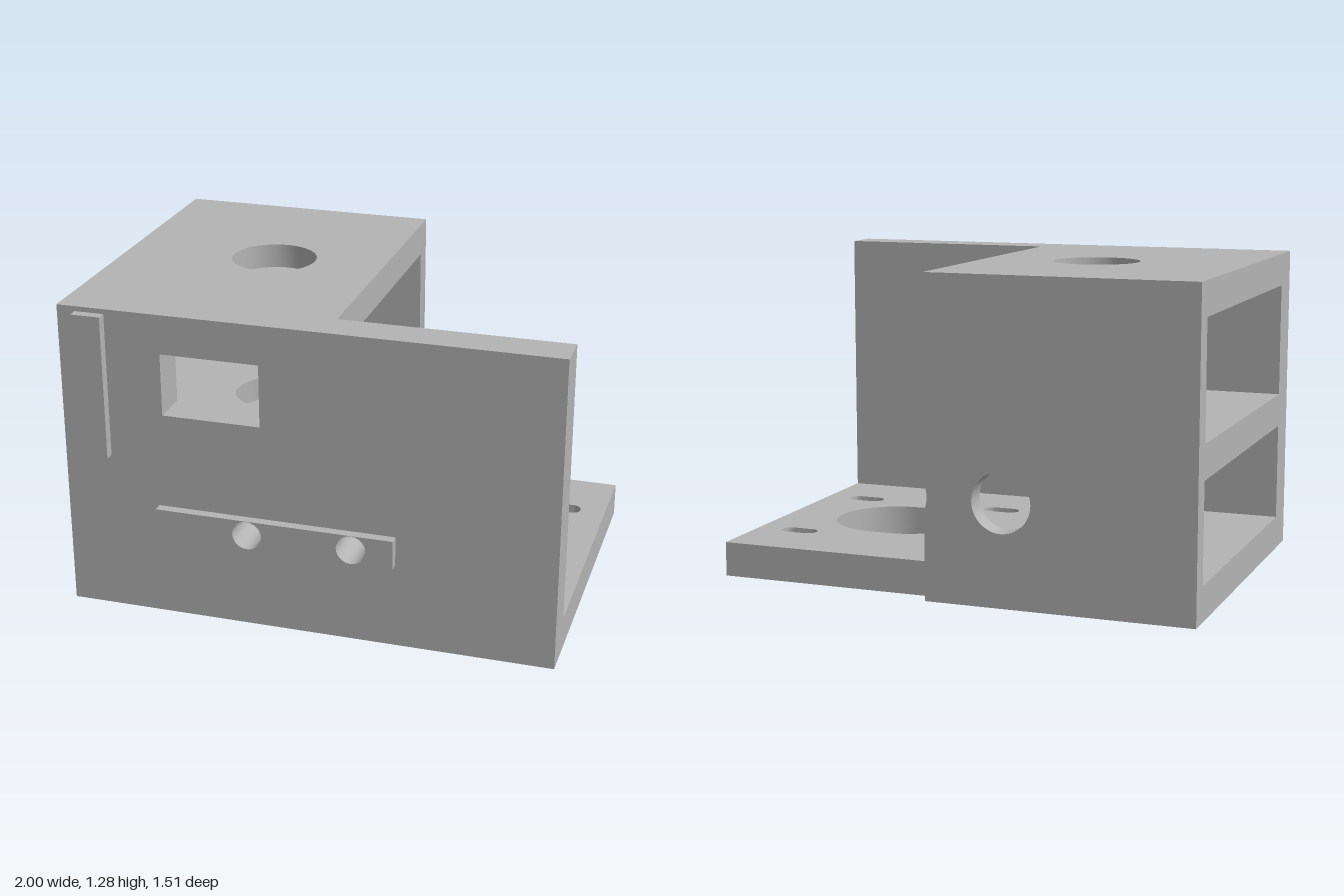
import * as THREE from 'three';
import { toCreasedNormals } from 'three/addons/utils/BufferGeometryUtils.js';

const FRONT = 0.715, INNER = 0.56, BACK_IN = -0.67, BACK = -0.755;
const HEIGHT = 1.28, BOX_X = 0.085, HOLE_Y = 0.413;
const BORE = { x: -0.38, z: -0.06, outer: 0.175, inner: 0.108 };
const SCREWS = [-0.23, 0.195];

const polygon = (pts) => new THREE.Shape(pts.map(([x, y]) => new THREE.Vector2(x, y)));
const rect = (x0, x1, y0, y1) => polygon([[x0, y0], [x1, y0], [x1, y1], [x0, y1]]);

function circle(x, y, r) {
  const s = new THREE.Shape();
  s.absarc(x, y, r, 0, Math.PI * 2, false);
  return s;
}

// Rounded slot along x: two half circles joined by straight sides
function slot(x, y, halfLength, r) {
  const d = halfLength - r, s = new THREE.Shape();
  s.absarc(x + d, y, r, -Math.PI / 2, Math.PI / 2, false);
  s.absarc(x - d, y, r, Math.PI / 2, Math.PI * 1.5, false);
  s.closePath();
  return s;
}

export function createModel() {
  const group = new THREE.Group();
  const grey = new THREE.MeshStandardMaterial({ color: 0xb4b4b4 });
  grey.name = 'grey';

  function extrude(shape, holes, depth) {
    shape.holes.push(...holes);
    return new THREE.ExtrudeGeometry(shape, { depth, bevelEnabled: false, curveSegments: 32 });
  }
  function add(name, geometry) {
    const mesh = new THREE.Mesh(toCreasedNormals(geometry, 0.5), grey);
    mesh.name = name;
    group.add(mesh);
  }
  // Upright plate between two z values
  const upright = (name, shape, holes, z0, z1) =>
    add(name, extrude(shape, holes, z1 - z0).translate(0, 0, z0));
  // Level plate between two heights; its shape is drawn in (x, -z)
  const level = (name, shape, holes, y0, y1) =>
    add(name, extrude(shape, holes, y1 - y0).rotateX(-Math.PI / 2).translate(0, y0, 0));

  // Front plate with window and screw holes
  const screwHoles = () => SCREWS.map((x) => circle(x, HOLE_Y, 0.0595));
  upright('frontPlate', rect(-1, 1, 0, HEIGHT),
    [rect(-0.58, -0.18, 0.865, 1.12), ...screwHoles()], INNER, FRONT);

  // Raised bars on the front
  upright('horizontalBar', rect(-0.61, 0.363, 0.352, 0.474), screwHoles(), FRONT, 0.755);
  upright('verticalBar', rect(-0.925, -0.805, 0.668, 1.26), [], FRONT, 0.755);

  // Back plate: one access hole and one that nicks the side edge
  const r = 0.12, a = Math.acos((SCREWS[1] - BOX_X) / r);
  const back = new THREE.Shape();
  back.moveTo(-1, 0);
  back.lineTo(BOX_X, 0);
  back.absarc(SCREWS[1], HOLE_Y, r, Math.PI + a, Math.PI - a, true);
  back.lineTo(BOX_X, HEIGHT);
  back.lineTo(-1, HEIGHT);
  back.closePath();
  upright('backPlate', back, [circle(SCREWS[0], HOLE_Y, r)], BACK, BACK_IN);

  // Base plate with large opening and four mounting slots
  const base = polygon([[-1, -INNER], [1, -INNER], [1, 0.685], [BOX_X, 0.685],
    [BOX_X, -BACK_IN], [-1, -BACK_IN]]);
  const baseHoles = [slot(0.487, 0.06, 0.288, 0.245)];
  for (const x of [0.16, 0.814])
    for (const z of [-0.393, 0.267]) baseHoles.push(slot(x, -z, 0.08, 0.038));

  // Three levels, each with a stepped bore
  const bore = () => circle(BORE.x, -BORE.z, BORE.outer);
  const boxFloor = () => rect(-1, BOX_X, -INNER, -BACK_IN);
  const levels = [
    ['basePlate', base, baseHoles, 0, 0.14],
    ['middleShelf', boxFloor(), [], 0.54, 0.678],
    ['topPlate', boxFloor(), [], 1.145, HEIGHT],
  ];
  for (const [name, shape, holes, y0, y1] of levels) {
    level(name, shape, [bore(), ...holes], y0, y1);
    level(name + 'BoreLedge', bore(), [circle(BORE.x, -BORE.z, BORE.inner)], y0, y1 - 0.1);
  }
  return group;
}
